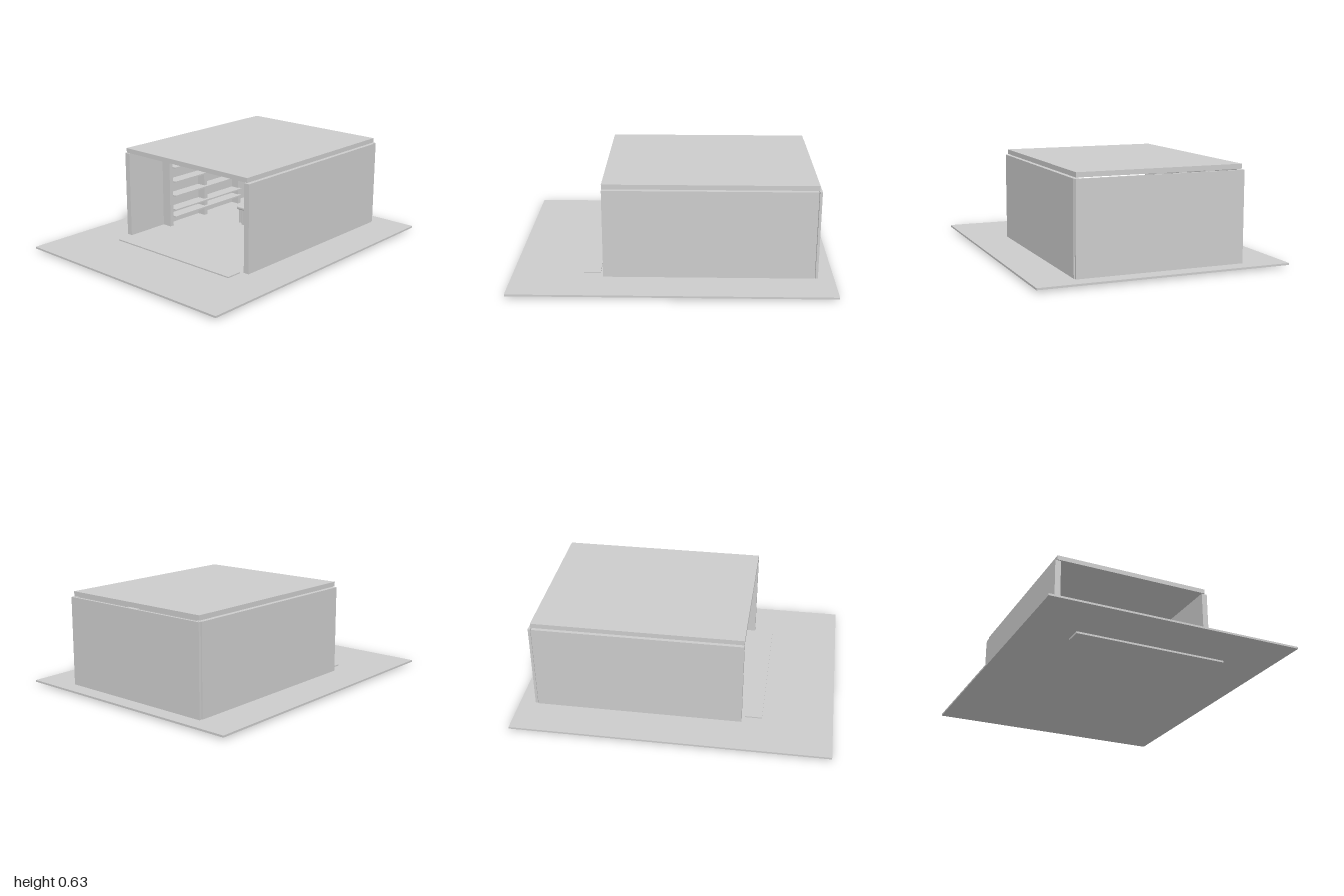
import * as THREE from 'three';
import { RoundedBoxGeometry } from 'three/addons/geometries/RoundedBoxGeometry.js';

export function createModel() {
  const model = new THREE.Group();
  const grey = new THREE.MeshStandardMaterial({ color: 0xcccccc });
  grey.name = 'light grey';

  const add = (name, geometry, parent = model) => {
    const mesh = new THREE.Mesh(geometry, grey);
    mesh.name = name;
    parent.add(mesh);
    return mesh;
  };
  // Box given by its low and high limits on each axis
  const box = (name, x0, x1, y0, y1, z0, z1, parent) =>
    add(name, new THREE.BoxGeometry(x1 - x0, y1 - y0, z1 - z0), parent)
      .position.set((x0 + x1) / 2, (y0 + y1) / 2, (z0 + z1) / 2);
  const cushion = (name, x0, x1, y0, y1, z0, z1, r, parent) =>
    add(name, new RoundedBoxGeometry(x1 - x0, y1 - y0, z1 - z0, 3, r), parent)
      .position.set((x0 + x1) / 2, (y0 + y1) / 2, (z0 + z1) / 2);
  const group = (name) => {
    const g = new THREE.Group();
    g.name = name;
    model.add(g);
    return g;
  };

  // Paved ground, 0.2 tiles
  const ground = group('ground');
  for (let i = 0; i < 8; i++) {
    for (let j = 0; j < 10; j++) {
      const x = -0.8 + i * 0.2, z = -1 + j * 0.2;
      box('groundTile', x, x + 0.2, 0.012, 0.024, z, z + 0.2, ground);
    }
  }

  // Entrance threshold: raised half and sunken half
  box('thresholdUpper', -0.49, 0.49, 0.02, 0.032, 0.45, 0.556);
  box('thresholdLower', -0.49, 0.49, 0, 0.013, 0.55, 0.66);

  // Shell, open at the front
  for (const s of [-1, 1]) {
    const a = s * 0.502, b = s * 0.54;
    box('sideWall', Math.min(a, b), Math.max(a, b), 0.024, 0.591, -0.88, 0.43);
  }
  box('backWall', -0.535, 0.535, 0.024, 0.591, -0.9, -0.884);
  box('roof', -0.525, 0.525, 0.596, 0.626, -0.885, 0.43);

  // Door in the back wall
  const door = group('door');
  box('doorPanel', -0.165, 0.16, 0.024, 0.49, -0.884, -0.876, door);
  box('doorFrameLeft', 0.16, 0.172, 0.024, 0.503, -0.884, -0.868, door);
  box('doorFrameRight', -0.177, -0.165, 0.024, 0.503, -0.884, -0.868, door);
  box('doorFrameTop', -0.165, 0.16, 0.49, 0.503, -0.884, -0.868, door);
  box('doorHandle', 0.119, 0.125, 0.2, 0.26, -0.876, -0.86, door);

  // Shelves on the back wall
  for (const y of [0.135, 0.328, 0.232, 0.424])
    box('backShelf', 0.22, 0.46, y - 0.004, y + 0.004, -0.884, -0.8);

  // Tall shelving on the right wall
  const rack = group('rightShelving');
  box('rackBack', -0.502, -0.495, 0.024, 0.565, -0.58, 0.12, rack);
  for (const z of [0.1, -0.24, -0.6])
    box('rackPanel', -0.502, -0.435, 0.024, 0.565, z, z + 0.03, rack);
  for (const y of [0.09, 0.14, 0.24, 0.34, 0.44])
    box('rackShelf', -0.5, -0.41, y - 0.005, y + 0.005, -0.58, 0.1, rack);

  // Framed cabinet on the left wall
  const cabinet = group('leftCabinet');
  for (const z of [-0.03, -0.56]) {
    box('cabinetPost', 0.405, 0.418, 0.04, 0.555, z, z + 0.02, cabinet);
    box('cabinetPost', 0.484, 0.502, 0.024, 0.555, z, z + 0.02, cabinet);
    box('cabinetRail', 0.418, 0.484, 0.545, 0.555, z, z + 0.02, cabinet);
    box('cabinetRail', 0.418, 0.484, 0.04, 0.05, z, z + 0.02, cabinet);
  }
  for (const y of [0.045, 0.12, 0.21, 0.455, 0.498, 0.55])
    box('cabinetShelf', 0.405, 0.502, y - 0.004, y + 0.004, -0.54, -0.03, cabinet);

  // Padded bench near the back
  const bench = group('bench');
  cushion('benchSeat', -0.4, -0.19, 0.09, 0.122, -0.72, -0.6, 0.012, bench);
  for (const x of [-0.38, -0.211])
    box('benchLeg', x, x + 0.006, 0.024, 0.092, -0.71, -0.61, bench);

  // Slatted table
  const table = group('slattedTable');
  cushion('tableTop', -0.13, 0.125, 0.135, 0.16, -0.38, -0.21, 0.01, table);
  box('tableCore', -0.1, 0.096, 0.024, 0.137, -0.36, -0.23, table);
  for (let i = 0; i < 12; i++) {
    const x = -0.11 + i * 0.0185;
    for (const z of [-0.37, -0.23])
      box('tableSlat', x, x + 0.011, 0.04, 0.137, z, z + 0.012, table);
  }
  for (let i = 0; i < 7; i++) {
    const z = -0.355 + i * 0.019;
    for (const x of [-0.11, 0.094])
      box('tableSlat', x, x + 0.011, 0.04, 0.137, z, z + 0.011, table);
  }

  // Ceiling lamps
  add('pendantLamp', new THREE.SphereGeometry(0.009, 16, 12)).position.set(0, 0.568, -0.25);
  add('pendantRod', new THREE.CylinderGeometry(0.003, 0.003, 0.03, 10)).position.set(0, 0.583, -0.25);
  for (const x of [-0.425, 0.425])
    add('ceilingSpot', new THREE.CylinderGeometry(0.016, 0.012, 0.01, 16)).position.set(x, 0.592, -0.25);

  return model;
}
